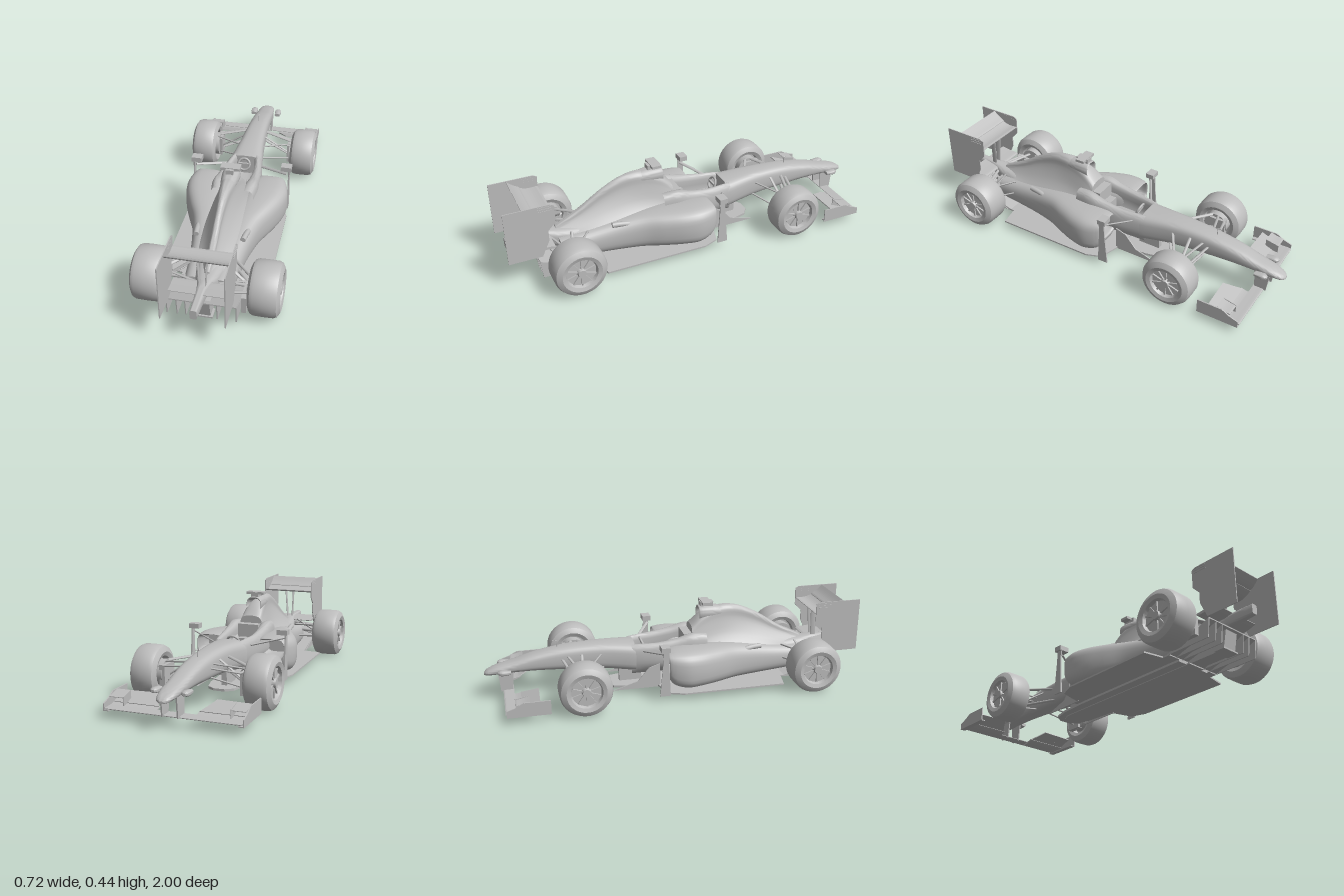
import * as THREE from 'three';
import { toCreasedNormals } from 'three/addons/utils/BufferGeometryUtils.js';

const V = (x, y, z) => new THREE.Vector3(x, y, z);
const grey = new THREE.MeshStandardMaterial({ color: 0xbdbdbd });
grey.name = 'plainGrey';

// Closed superellipse ring at a given z
function superRing([z, cx, cy, hw, hh, n]) {
  const ring = [];
  for (let i = 0; i < 32; i++) {
    const a = (i / 32) * Math.PI * 2, c = Math.cos(a), s = Math.sin(a);
    ring.push(V(cx + hw * Math.sign(c) * Math.abs(c) ** (2 / n), cy + hh * Math.sign(s) * Math.abs(s) ** (2 / n), z));
  }
  return ring;
}

// Closed ring from a half profile (bottom centre, up the left side, to top centre)
function mirrorRing(half, z) {
  const pts = half.map(([x, y]) => V(x, y, z));
  for (let i = half.length - 2; i > 0; i--) pts.push(V(-half[i][0], half[i][1], z));
  return new THREE.CatmullRomCurve3(pts, true).getPoints(pts.length * 4).slice(0, -1);
}

// Smooth skin over rings running towards +z
function hull(rings, capStart = true, capEnd = true, sub = 5) {
  const n = rings[0].length, steps = (rings.length - 1) * sub, pos = [], idx = [];
  const cols = rings[0].map((_, j) => new THREE.CatmullRomCurve3(rings.map(r => r[j])));
  for (let i = 0; i <= steps; i++) cols.forEach(c => pos.push(...c.getPoint(i / steps).toArray()));
  for (let i = 0; i < steps; i++) for (let j = 0; j < n; j++) {
    const a = i * n + j, b = i * n + (j + 1) % n;
    idx.push(a, b, b + n, a, b + n, a + n);
  }
  const cap = (ring, start, flip) => {
    const mid = ring.reduce((s, p) => s.add(p), V(0, 0, 0)).divideScalar(n), m = pos.length / 3;
    pos.push(...mid.toArray());
    for (let j = 0; j < n; j++) {
      const a = start + j, b = start + (j + 1) % n;
      idx.push(m, flip ? b : a, flip ? a : b);
    }
  };
  if (capStart) cap(rings[0], 0, true);
  if (capEnd) cap(rings[rings.length - 1], steps * n, false);
  const g = new THREE.BufferGeometry();
  g.setAttribute('position', new THREE.Float32BufferAttribute(pos, 3));
  g.setIndex(idx);
  return toCreasedNormals(g, 0.7);
}

const shapeOf = pts => new THREE.Shape(pts.map(p => new THREE.Vector2(...p)));
const slab = (pts, depth) => new THREE.ExtrudeGeometry(shapeOf(pts), { depth, bevelEnabled: false });
// Upright plate from [z, y] points, w wide about x
const upright = (pts, w, x = 0) => slab(pts, w).rotateY(-Math.PI / 2).translate(x + w / 2, 0, 0);
// Level plate from [x, z] points with its top at y
const level = (pts, t, y) => slab(pts, t).rotateX(Math.PI / 2).translate(0, y, 0);
const box = (x, y, z, w, h, d) => new THREE.BoxGeometry(w, h, d).translate(x, y, z);
// Rod between two points, optionally widened along z
function rod(a, b, r, wide = 1) {
  const A = V(...a), B = V(...b), d = B.clone().sub(A);
  const g = new THREE.CylinderGeometry(r, r, d.length(), 10).scale(1, 1, wide);
  g.applyQuaternion(new THREE.Quaternion().setFromUnitVectors(V(0, 1, 0), d.normalize()));
  const m = A.add(B).multiplyScalar(0.5);
  return g.translate(m.x, m.y, m.z);
}
// Curved wing section as [z, y] points
function airfoil(z0, y0, z1, y1, t, sag) {
  const up = [], low = [];
  for (let i = 0; i <= 10; i++) {
    const u = i / 10, z = z0 + (z1 - z0) * u, y = y0 + (y1 - y0) * u - sag * Math.sin(Math.PI * u);
    const h = t * Math.sqrt(u) * (1 - u) + 0.0015;
    up.push([z, y + h]);
    low.unshift([z, y - h]);
  }
  return low.concat(up);
}

// Mirror across x, keeping faces outward
function mirrored(geo) {
  const g = geo.index ? geo.toNonIndexed() : geo.clone();
  for (const name of ['position', 'normal']) {
    const at = g.attributes[name];
    for (let i = 0; i < at.count; i += 3) {
      const p = [0, 2, 1].map(k => V(0, 0, 0).fromBufferAttribute(at, i + k));
      p.forEach((v, k) => at.setXYZ(i + k, -v.x, v.y, v.z));
    }
  }
  return g;
}

export function createModel() {
  const car = new THREE.Group();
  const add = (name, geo) => {
    const m = new THREE.Mesh(geo, grey);
    m.name = name;
    car.add(m);
  };
  const pair = (name, geo) => { add(name + 'Left', geo); add(name + 'Right', mirrored(geo)); };

  // Nose and front chassis: z, cx, cy, half width, half height, squareness
  add('nose', hull([
    [-1, 0, .142, .012, .006, 2], [-.985, 0, .147, .03, .013, 2.2], [-.94, 0, .158, .043, .021, 2.5],
    [-.85, 0, .172, .049, .03, 2.8], [-.75, 0, .187, .054, .044, 3], [-.6, 0, .197, .06, .06, 3.2],
    [-.4, 0, .196, .071, .069, 3.5], [-.22, 0, .18, .094, .077, 3.5]].map(superRing)));
  // Open cockpit tub: z, half width, rim height, opening half width
  add('cockpitTub', hull([
    [-.24, .088, .254, .045], [-.2, .096, .257, .057], [-.1, .112, .262, .068], [0, .12, .278, .068],
    [.08, .124, .297, .062], [.16, .115, .29, .05]].map(([z, w, t, c]) => mirrorRing([
    [0, .085], [.06, .09], [w - .005, .14], [w, .21], [w - .008, t - .015], [w - .025, t],
    [c, t - .01], [c - .008, .155], [0, .145]], z)), false, false));
  add('headrest', box(0, .24, .085, .115, .09, .08));
  add('seat', box(0, .18, .03, .09, .07, .05));
  add('steeringWheel', new THREE.TorusGeometry(.032, .006, 8, 24).rotateX(-.4).translate(0, .235, -.17));
  add('steeringHub', box(0, .235, -.17, .06, .014, .01));

  // Engine cover: z, top, ridge, middle and base half widths
  add('engineCover', hull([
    [.09, .325, .05, .085, .11], [.16, .385, .042, .08, .13], [.25, .418, .032, .072, .14],
    [.35, .41, .022, .066, .14], [.46, .362, .016, .06, .13], [.59, .278, .015, .052, .115],
    [.72, .21, .012, .035, .095]].map(([z, t, r, m, b]) => {
    const k = f => .15 + (t - .15) * f;
    return mirrorRing([[0, .07], [b * .9, .075], [b, .15], [m, k(.4)], [r * 1.3, k(.75)], [r, k(.94)], [0, t]], z);
  })));
  add('airIntake', hull([[.2, 0, .378, .026, .024, 2.4], [.15, 0, .378, .034, .032, 2.4], [.135, 0, .38, .042, .039, 2.4],
    [.16, 0, .382, .046, .04, 2.4], [.24, 0, .38, .04, .038, 2.2], [.34, 0, .37, .02, .03, 2]].map(superRing)));
  add('topCamera', box(0, .44, .175, .1, .014, .05));
  add('topCameraMount', box(0, .428, .18, .04, .03, .07));

  // Sidepods with a recessed inlet, narrowing to the tail
  pair('sidepod', hull([
    [.04, .175, .185, .055, .035, 4], [-.04, .175, .185, .068, .048, 4], [-.075, .172, .185, .072, .055, 4],
    [-.05, .168, .162, .092, .085, 3.6], [.02, .163, .15, .112, .1, 3.4], [.1, .15, .147, .113, .1, 3.2],
    [.2, .125, .142, .1, .098, 3], [.3, .1, .136, .08, .093, 2.8], [.42, .085, .127, .065, .083, 2.6],
    [.56, .07, .118, .06, .07, 2.5], [.72, .06, .112, .055, .055, 2.5]].map(superRing)));
  const exhaust = new THREE.CatmullRomCurve3([V(.1, .185, .33), V(.125, .197, .36), V(.123, .205, .41), V(.118, .207, .455)]);
  pair('exhaust', new THREE.TubeGeometry(exhaust, 16, .014, 14, false));
  pair('exhaustEnd', new THREE.CircleGeometry(.0138, 14).translate(.118, .207, .454));

  // Floor, plank and splitter
  const both = half => [...half, ...half.map(([x, z]) => [-x, z]).reverse()];
  add('floor', level(both([[.1, -.12], [.24, -.08], [.27, 0], [.27, .54], [.165, .56], [.165, .6]]), .008, .041));
  add('splitter', level(both([[.03, -.37], [.07, -.34], [.09, -.26], [.1, -.1], [.1, .6]]), .012, .034));
  add('plank', level(both([[.03, -.33], [.05, -.28], [.05, .62]]), .006, .025));
  add('splitterStay', box(0, .065, -.24, .03, .08, .12));
  pair('bargeboard', upright([[-.35, .03], [-.1, .03], [-.1, .16], [-.16, .14], [-.22, .07]], .006, .125));
  pair('turningVane', upright([[-.13, .035], [-.075, .035], [-.085, .24], [-.08, .28], [-.11, .28], [-.115, .2]], .007, .262));
  pair('mirror', box(.247, .289, -.1, .056, .026, .045));
  pair('mirrorArm', rod([.1, .225, -.18], [.25, .255, -.09], .004, 2));

  // Diffuser with fences
  add('diffuserRoof', upright([[.58, .033], [.7, .065], [.85, .127], [.85, .133], [.7, .073], [.58, .041]], .33));
  for (const x of [.165, .117, .075]) pair('diffuserFence', upright([[.6, .035], [.84, .035], [.85, .13], [.7, .07]], .005, x));
  add('diffuserTunnel', upright([[.6, .025], [.82, .025], [.84, .12], [.6, .12]], .078));
  add('diffuserLip', box(0, .029, .8, .1, .008, .06));
  add('gearbox', hull([[.6, 0, .14, .08, .06, 3], [.72, 0, .15, .055, .05, 3], [.8, 0, .17, .03, .035, 3],
    [.98, 0, .18, .017, .025, 5]].map(superRing)));

  // Rear wing
  pair('rearWingEndplate', upright([[.83, .15], [1, .15], [1, .435], [.77, .435], [.75, .425], [.752, .33],
    [.79, .29], [.79, .235]], .005, .149));
  add('rearWingMain', upright(airfoil(.752, .37, .86, .388, .012, .014), .295));
  add('rearWingFlap', upright(airfoil(.845, .385, .908, .432, .007, .006), .295));
  add('beamWing', upright(airfoil(.76, .185, .87, .2, .014, .004), .295));
  pair('rearWingPylon', rod([.014, .19, .8], [.024, .365, .79], .003, 5));
  for (const y of [.405, .417, .428]) pair('endplateLouvre', box(.15, y, .8, .008, .003, .07));

  // Front wing
  add('frontWingMain', upright(airfoil(-.91, .052, -.855, .056, .009, .002), .66));
  pair('frontWingPlane', upright(airfoil(-.9, .052, -.815, .062, .012, .008), .235, .215));
  const flap = [[.1, -.825], [.33, -.825], [.33, -.735], [.15, -.73], [.125, -.78]];
  const tilt = level(flap, .005, 0).translate(0, 0, .825).rotateX(-.38).translate(0, .064, -.825);
  pair('frontWingFlap', tilt);
  pair('frontWingEndplate', upright([[-.905, .04], [-.69, .04], [-.69, .113], [-.82, .113], [-.86, .09], [-.905, .075]], .006, .338));
  pair('frontWingFootplate', box(.327, .042, -.8, .028, .005, .21));
  pair('frontWingCascade', upright(airfoil(-.86, .095, -.79, .113, .006, .004), .07, .298));
  pair('cascadePlate', upright([[-.86, .055], [-.79, .07], [-.79, .115], [-.86, .1]], .004, .262));
  pair('nosePillar', upright([[-.92, .05], [-.86, .05], [-.85, .165], [-.93, .15]], .007, .038));
  pair('noseCamera', hull([[-.93, .075, .165, .008, .006, 2.5], [-.915, .075, .165, .018, .012, 3],
    [-.865, .075, .165, .016, .009, 3]].map(superRing)));
  add('airspeedProbe', rod([0, .25, -.62], [0, .29, -.62], .002));
  add('airspeedProbeTip', rod([0, .29, -.615], [0, .29, -.645], .002));

  // Wheels: tyre, dished rim, spokes and nut
  function wheel(name, z, x0, x1, r) {
    const c = (x0 + x1) / 2, h = (x1 - x0) / 2;
    const profile = [[0, -h + .04], [.075, -h + .04], [.08, -h + .008], [.1, -h], [r - .025, -h + .004], [r - .008, -h + .014],
      [r - .001, -h + .03], [r, 0], [r - .001, h - .03], [r - .008, h - .014], [r - .025, h - .004], [.1, h],
      [.08, h - .006], [.074, h - .024], [0, h - .024]].map(p => new THREE.Vector2(...p));
    const tyre = toCreasedNormals(new THREE.LatheGeometry(profile, 56), .6);
    pair(name + 'Tyre', tyre.rotateZ(-Math.PI / 2).translate(c, r + .002, z));
    const nut = new THREE.CylinderGeometry(.02, .026, .02, 20).rotateZ(-Math.PI / 2);
    pair(name + 'Nut', nut.translate(x1 - .016, r + .002, z));
    for (let i = 0; i < 10; i++) {
      const spoke = new THREE.BoxGeometry(.01, .056, .008).translate(0, .046, 0).rotateX(i * Math.PI / 5);
      pair(name + 'Spoke', spoke.translate(x1 - .021, r + .002, z));
    }
    pair(name + 'Brake', new THREE.CylinderGeometry(.065, .065, .06, 28).rotateZ(Math.PI / 2).translate(x0 + .02, r + .002, z));
  }
  wheel('front', -.515, .22, .36, .134);
  wheel('rear', .695, .203, .358, .135);

  // Suspension arms, pushrods and track rods
  const arms = {
    frontUpperArm: [[.055, .215, -.57], [.24, .19, -.52]], frontUpperRearArm: [[.06, .215, -.4], [.24, .19, -.51]],
    frontLowerArm: [[.05, .15, -.58], [.24, .09, -.52]], frontLowerRearArm: [[.06, .145, -.39], [.24, .09, -.51]],
    frontPushrod: [[.055, .225, -.5], [.24, .1, -.515]], frontTrackRod: [[.05, .2, -.6], [.24, .175, -.56]],
    rearUpperArm: [[.1, .195, .58], [.22, .175, .69]], rearUpperRearArm: [[.03, .175, .76], [.22, .175, .7]],
    rearLowerArm: [[.1, .13, .56], [.22, .11, .69]], rearLowerRearArm: [[.03, .14, .78], [.22, .11, .7]],
    rearPushrod: [[.09, .21, .66], [.22, .12, .7]], rearTrackRod: [[.03, .16, .8], [.22, .15, .75]],
  };
  for (const [name, [a, b]] of Object.entries(arms)) pair(name, rod(a, b, .0045, 1.8));
  pair('driveShaft', rod([.04, .145, .7], [.22, .137, .695], .009));
  pair('rearBrakeDuct', box(.19, .1, .75, .025, .09, .09));
  pair('frontBrakeDuct', box(.21, .13, -.53, .03, .11, .09));
  return car;
}
